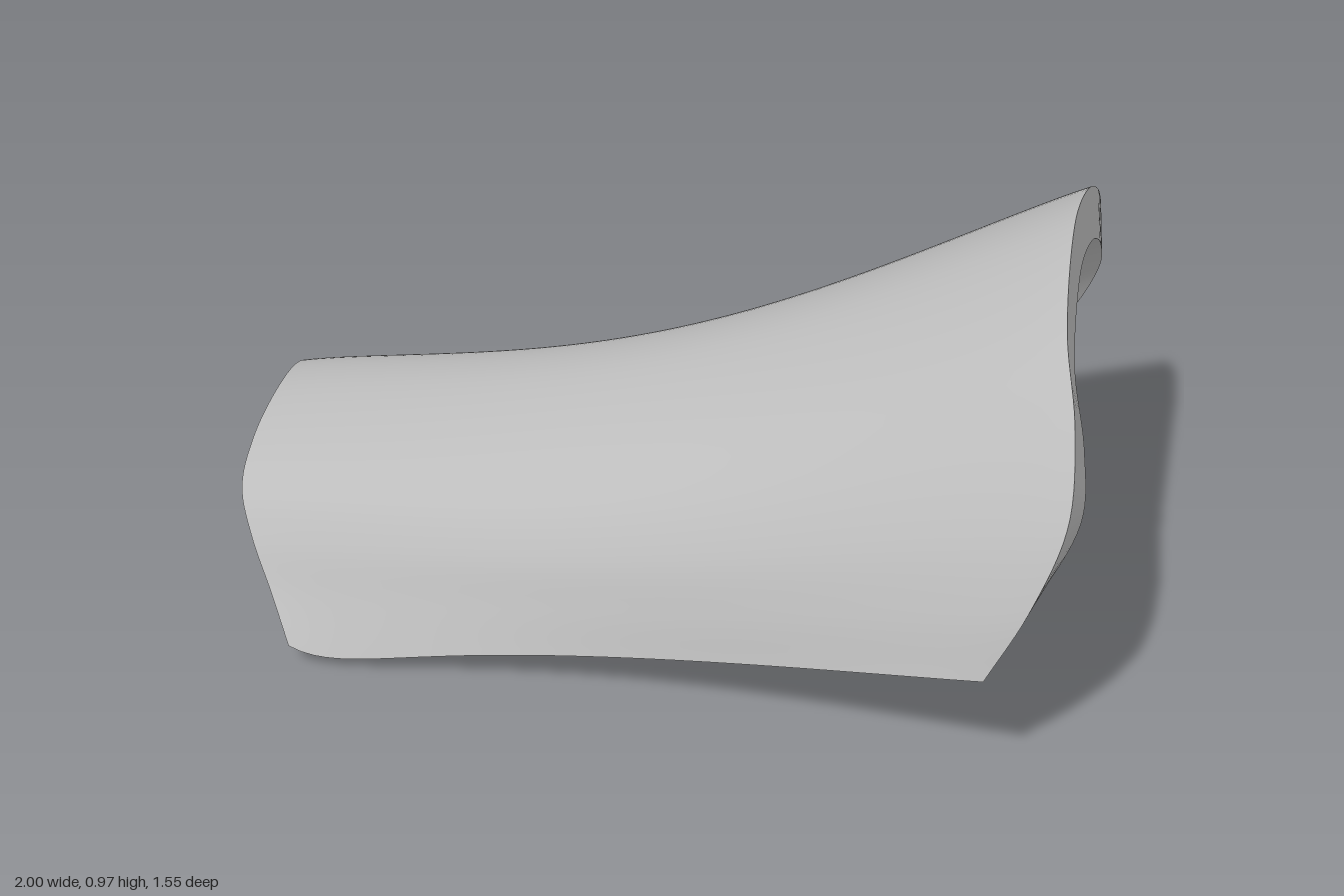
import * as THREE from 'three';
import { mergeGeometries } from 'three/addons/utils/BufferGeometryUtils.js';

const curve = (pts) => new THREE.CatmullRomCurve3(pts.map((p) => new THREE.Vector3(...p)));

// Rims, each from the front lower edge over the crest to the back lower edge
const narrowOuter = curve([
  [-0.66, 0.05, 0.775], [-0.73, 0.14, 0.72], [-0.8, 0.235, 0.67], [-0.858, 0.31, 0.605],
  [-0.9, 0.36, 0.48], [-0.945, 0.385, 0.28], [-0.982, 0.355, 0.13], [-1.0, 0.285, 0.03],
  [-0.975, 0.2, -0.045], [-0.945, 0.12, -0.115], [-0.91, 0.055, -0.175],
]);
const narrowInner = curve([
  [-0.68, 0.02, 0.66], [-0.75, 0.085, 0.615], [-0.81, 0.155, 0.57], [-0.86, 0.22, 0.51],
  [-0.895, 0.26, 0.42], [-0.925, 0.273, 0.31], [-0.95, 0.25, 0.2], [-0.965, 0.195, 0.11],
  [-0.95, 0.13, 0.04], [-0.92, 0.07, -0.025], [-0.88, 0.02, -0.085],
]);
const wideOuter = curve([
  [0.88, 0.305, 0.625], [0.955, 0.47, 0.585], [1.0, 0.64, 0.51], [0.965, 0.785, 0.385],
  [0.89, 0.895, 0.22], [0.8, 0.975, -0.1], [0.755, 0.935, -0.35], [0.72, 0.815, -0.575],
  [0.69, 0.68, -0.7], [0.63, 0.49, -0.768], [0.52, 0.31, -0.78],
]);
const wideInner = curve([
  [0.86, 0.285, 0.52], [0.95, 0.455, 0.478], [1.0, 0.595, 0.41], [0.97, 0.7, 0.32],
  [0.9, 0.795, 0.18], [0.82, 0.865, -0.1], [0.78, 0.827, -0.32], [0.75, 0.72, -0.51],
  [0.72, 0.6, -0.62], [0.65, 0.45, -0.67], [0.52, 0.285, -0.67],
]);

// Surface between two rims: s runs from the narrow to the wide end, t from front to back
const loft = (narrow, wide) => (s, t) => {
  const p = narrow.getPoint(t).lerp(wide.getPoint(t), s);
  const u = 2 * t - 1;
  const waist = Math.pow(Math.max(0, Math.sin(Math.PI * s)), 1.2);
  p.y -= waist * (0.125 - 0.077 * u * u);
  p.z += waist * 0.092 * u;
  p.y -= s * Math.exp(-12 * s) * u ** 4; // rounded lower corners at the narrow end
  return p;
};
const outer = loft(narrowOuter, wideOuter);
const inner = loft(narrowInner, wideInner);
const wall = (s, t, w) => (w < 0.5 ? outer(s, t) : inner(s, t));

// Grid of points f(u, v) as a smooth surface
function grid(f, nu, nv, flip) {
  const pos = [], idx = [];
  for (let i = 0; i <= nu; i++) {
    for (let j = 0; j <= nv; j++) pos.push(...f(i / nu, j / nv).toArray());
  }
  for (let i = 0; i < nu; i++) {
    for (let j = 0; j < nv; j++) {
      const a = i * (nv + 1) + j, b = a + nv + 1;
      if (flip) idx.push(a, b + 1, b, a, a + 1, b + 1);
      else idx.push(a, b, b + 1, a, b + 1, a + 1);
    }
  }
  const g = new THREE.BufferGeometry();
  g.setAttribute('position', new THREE.Float32BufferAttribute(pos, 3));
  g.setIndex(idx);
  g.computeVertexNormals();
  return g;
}

export function createModel() {
  const group = new THREE.Group();
  group.name = 'curvedGuard';
  const grey = new THREE.MeshStandardMaterial({ color: 0xbcbcbc });
  grey.name = 'light grey';
  const NS = 56, NT = 72;

  const parts = {
    outerShell: grid(outer, NS, NT, false),
    innerShell: grid(inner, NS, NT, true),
    lowerEdges: mergeGeometries([
      grid((s, w) => wall(s, 0, w), NS, 1, true),
      grid((s, w) => wall(s, 1, w), NS, 1, false),
    ]),
    endRims: mergeGeometries([
      grid((t, w) => wall(0, t, w), NT, 1, false),
      grid((t, w) => wall(1, t, w), NT, 1, true),
    ]),
  };
  for (const [name, g] of Object.entries(parts)) {
    const mesh = new THREE.Mesh(g, grey);
    mesh.name = name;
    group.add(mesh);
  }
  return group;
}
